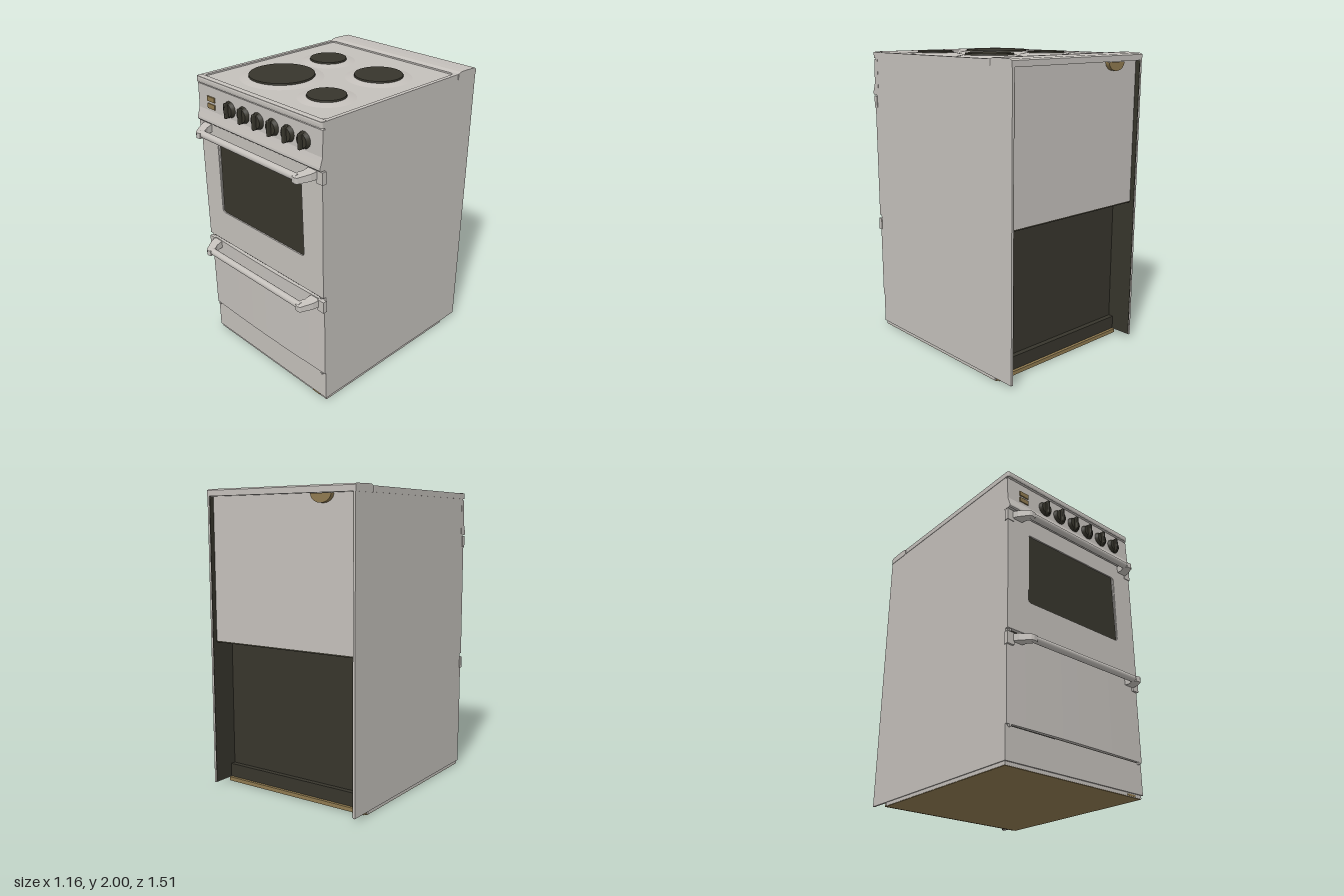
import * as THREE from 'three';
import { RoundedBoxGeometry } from 'three/addons/geometries/RoundedBoxGeometry.js';

const material = (name, color) => Object.assign(new THREE.MeshStandardMaterial({ color }), { name });

export function createModel() {
  const enamel = material('warm grey enamel', 0xc4c0bb);
  const black = material('near black', 0x37352c);
  const tan = material('tan', 0x8f7a50);
  const group = new THREE.Group();
  group.name = 'cooker';

  const add = (name, geometry, mat, parent = group) => {
    const mesh = new THREE.Mesh(geometry, mat);
    mesh.name = name;
    parent.add(mesh);
    return mesh;
  };
  // Box given by its limits on each axis
  const box = (name, mat, x0, x1, y0, y1, z0, z1, parent) => {
    const g = new THREE.BoxGeometry(x1 - x0, y1 - y0, z1 - z0);
    return add(name, g.translate((x0 + x1) / 2, (y0 + y1) / 2, (z0 + z1) / 2), mat, parent);
  };
  const polygon = (pts) => new THREE.Shape(pts.map(([a, b]) => new THREE.Vector2(a, b)));
  const rounded = (path, x0, x1, y0, y1, r) => {
    path.moveTo(x0 + r, y0).lineTo(x1 - r, y0).quadraticCurveTo(x1, y0, x1, y0 + r);
    path.lineTo(x1, y1 - r).quadraticCurveTo(x1, y1, x1 - r, y1);
    path.lineTo(x0 + r, y1).quadraticCurveTo(x0, y1, x0, y1 - r);
    path.lineTo(x0, y0 + r).quadraticCurveTo(x0, y0, x0 + r, y0);
    return path;
  };
  const extrude = (shape, depth) => new THREE.ExtrudeGeometry(shape, { depth, bevelEnabled: false, curveSegments: 8 });
  // Profile of (z, y) points swept across the width
  const sweepX = (pts, width) => extrude(polygon(pts), width).rotateY(-Math.PI / 2).translate(width / 2, 0, 0);
  // Plan of (x, z) points, hanging down from the given top
  const sweepY = (shape, top, height) => extrude(shape, height).rotateX(Math.PI / 2).translate(0, top, 0);

  // Cabinet: sides, dark core, back panel over an open recess
  for (const s of [-1, 1]) {
    const a = s * 0.577, b = s * 0.563, c = s * 0.559;
    box('sidePanel', enamel, Math.min(a, b), Math.max(a, b), 0.025, 1.95, -0.755, 0.62);
    box('sideLiner', black, Math.min(b, c), Math.max(b, c), 0.03, 1.945, -0.753, 0.6);
  }
  box('innerCore', black, -0.56, 0.56, 0.03, 1.94, -0.575, 0.615);
  box('backPanel', enamel, -0.559, 0.559, 1.0, 1.95, -0.72, -0.7);
  box('recessCeiling', black, -0.559, 0.559, 0.99, 1.0, -0.719, -0.57);
  box('recessLedge', black, -0.559, 0.559, 0.03, 0.12, -0.61, -0.57);
  const terminal = new THREE.CylinderGeometry(0.075, 0.075, 0.03, 20, 1, false, -Math.PI / 2, Math.PI);
  add('cableCover', terminal.rotateX(Math.PI / 2).scale(1, 0.75, 1), tan).position.set(-0.33, 1.945, -0.735);

  // Base and plinth
  box('base', enamel, -0.57, 0.57, 0.003, 0.027, -0.6, 0.61);
  box('baseUnderside', tan, -0.568, 0.568, 0, 0.004, -0.61, 0.608);
  box('baseRearEdge', tan, -0.558, 0.558, 0.004, 0.03, -0.63, -0.6);
  box('plinth', enamel, -0.577, 0.577, 0.025, 0.232, 0.6, 0.62);
  box('frontFoot', tan, 0.44, 0.51, 0.005, 0.018, 0.608, 0.613);

  // Gently bowed drawer front
  const bow = new THREE.Shape();
  bow.moveTo(-0.577, 0.615).lineTo(0.577, 0.615).lineTo(0.577, 0.63);
  bow.quadraticCurveTo(0, 0.652, -0.577, 0.63);
  add('drawerFront', sweepY(bow, 0.81, 0.573), enamel);

  // Oven door with a recessed window
  const door = polygon([[-0.577, 0.836], [0.577, 0.836], [0.577, 1.688], [-0.577, 1.688]]);
  const opening = rounded(new THREE.Path(), -0.408, 0.408, 1.066, 1.564, 0.025);
  door.holes.push(opening);
  add('ovenDoor', extrude(door, 0.024).translate(0, 0, 0.616), enamel);
  box('ovenWindow', black, -0.42, 0.42, 1.05, 1.58, 0.622, 0.631);
  for (const s of [-1, 1]) {
    const edge = polygon([[s * 0.41, 1.07], [s * 0.41, 1.562], [s * 0.392, 1.562], [s * 0.404, 1.07]]);
    add('windowEdge', extrude(edge, 0.005).translate(0, 0, 0.631), enamel);
  }
  for (const y of [0.828, 0.23]) for (const x of [-0.55, 0.55]) {
    const pin = new THREE.CylinderGeometry(0.009, 0.009, 0.02, 10).rotateX(Math.PI / 2);
    add('hingePin', pin, enamel).position.set(x, y, 0.625);
  }

  // Handles: corner plates, slanted brackets and a round bar
  const makeHandle = (name, y) => {
    const handle = new THREE.Group();
    handle.name = name;
    handle.position.y = y;
    for (const s of [-1, 1]) {
      const a = s * 0.582, b = s * 0.53;
      box('cornerPlate', enamel, Math.min(a, b), Math.max(a, b), -0.045, 0.035, 0.615, 0.645, handle);
      const plan = polygon([[0.54, 0.635], [0.525, 0.68], [0.485, 0.748], [0.47, 0.755],
        [0.44, 0.75], [0.44, 0.705], [0.455, 0.68], [0.46, 0.635]].map(([x, z]) => [s * x, z]));
      const bracket = sweepY(plan, 0.025, 0.05);
      const p = bracket.attributes.position;
      // Slope the bracket downwards and thin it towards its tip
      for (let i = 0; i < p.count; i++) {
        const t = (p.getZ(i) - 0.635) / 0.12;
        p.setY(i, p.getY(i) * (1 - 0.25 * t) + 0.006 - 0.022 * t);
      }
      bracket.computeVertexNormals();
      add('bracket', bracket, enamel, handle);
    }
    const bar = new THREE.CylinderGeometry(0.023, 0.023, 0.92, 20).rotateZ(Math.PI / 2);
    add('bar', bar, enamel, handle).position.set(0, -0.009, 0.724);
    group.add(handle);
  };
  makeHandle('ovenHandle', 1.655);
  makeHandle('drawerHandle', 0.775);

  // Control panel with a flared lower lip
  add('controlPanel', sweepX([[0.6, 1.697], [0.655, 1.697], [0.662, 1.705], [0.66, 1.72],
    [0.648, 1.755], [0.64, 1.78], [0.636, 1.94], [0.6, 1.94]], 1.156), enamel);
  for (const y of [1.813, 1.861]) box('switch', tan, -0.477, -0.403, y - 0.016, y + 0.016, 0.63, 0.647);
  for (let i = 0; i < 6; i++) {
    const knob = new THREE.Group();
    knob.name = 'knob';
    knob.position.set(-0.25 + i * 0.1356, 1.842, 0.638);
    const disc = new THREE.CylinderGeometry(0.042, 0.053, 0.024, 28).rotateX(Math.PI / 2);
    add('knobDisc', disc, black, knob).position.z = 0.012;
    add('knobGrip', new RoundedBoxGeometry(0.02, 0.1, 0.045, 2, 0.006), black, knob).position.z = 0.024;
    group.add(knob);
  }

  // Hob: rim around a sunken tray, with a raised rear strip
  const rim = rounded(new THREE.Shape(), -0.58, 0.58, -0.57, 0.645, 0.012);
  rim.holes.push(rounded(new THREE.Path(), -0.552, 0.552, -0.555, 0.605, 0.035));
  add('hobRim', sweepY(rim, 1.988, 0.038), enamel);
  const roll = new RoundedBoxGeometry(1.16, 0.047, 0.05, 4, 0.018);
  add('hobFrontRoll', roll, enamel).position.set(0, 1.9695, 0.622);
  box('hobTray', enamel, -0.56, 0.56, 1.945, 1.978, -0.565, 0.615);
  add('rearStrip', sweepX([[-0.755, 1.948], [-0.57, 1.948], [-0.57, 1.988], [-0.59, 1.997],
    [-0.64, 1.998], [-0.74, 1.994], [-0.755, 1.985]], 1.16), enamel);

  // Hotplates on low raised mounds
  for (const [x, z, r] of [[-0.245, -0.205, 0.126], [0.24, -0.18, 0.16], [-0.202, 0.25, 0.216], [0.285, 0.323, 0.124]]) {
    add('hotplateMound', new THREE.CylinderGeometry(r + 0.005, r + 0.06, 0.012, 40), enamel).position.set(x, 1.983, z);
    add('hotplate', new THREE.CylinderGeometry(r - 0.004, r, 0.022, 40), black).position.set(x, 1.989, z);
  }
  return group;
}
